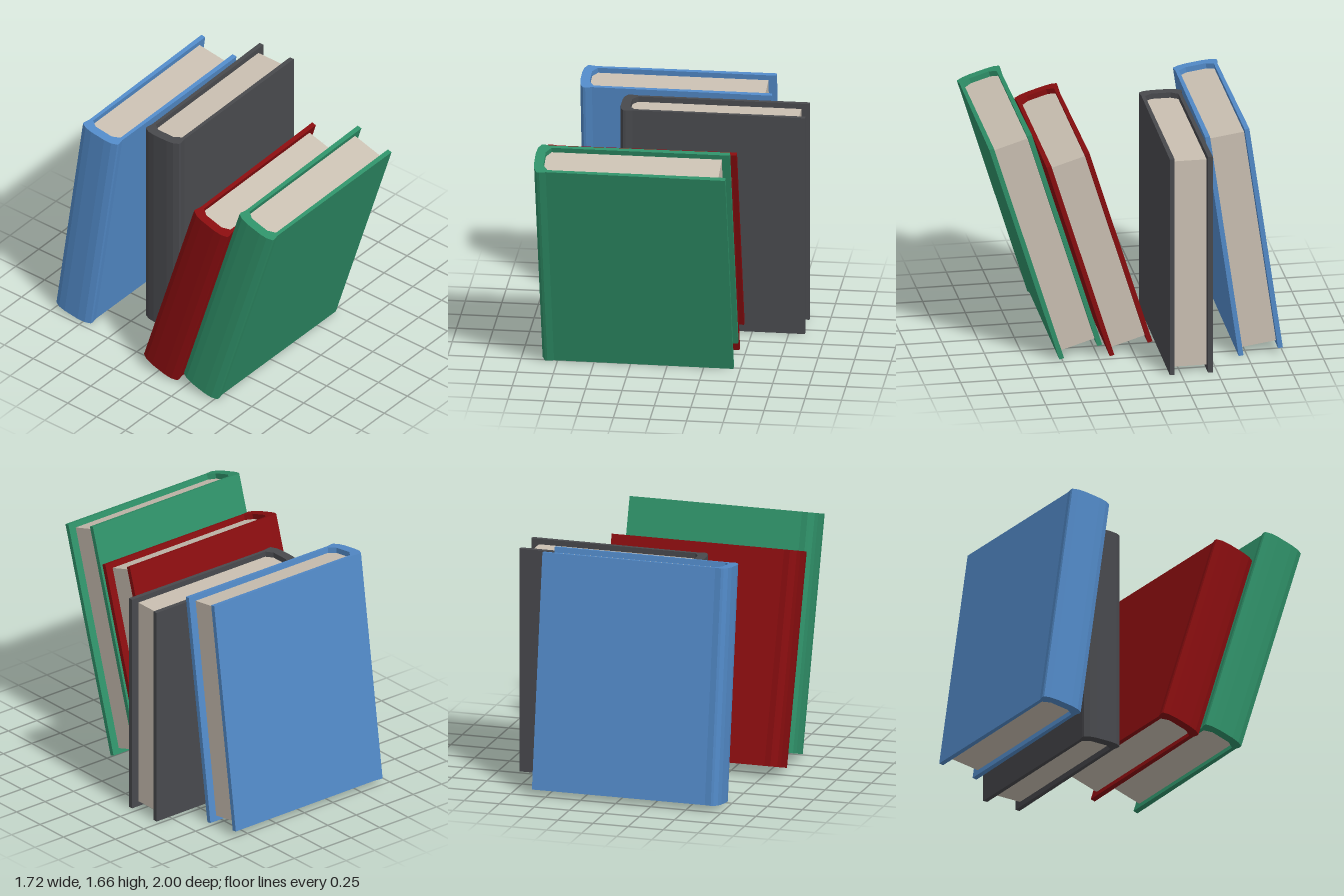
import * as THREE from 'three';

// Upright prism whose plan outline is mirrored across its centre line.
// half: [x, z] points along one side, running from the spine round and back.
function prism(half, height, baseY, color, name) {
  const mirrored = half.map(([x, z]) => [x, -z]).reverse();
  const shape = new THREE.Shape([...half, ...mirrored].map(([x, z]) => new THREE.Vector2(x, z)));
  const geometry = new THREE.ExtrudeGeometry(shape, { depth: height, bevelEnabled: false });
  geometry.rotateX(-Math.PI / 2).translate(0, baseY, 0);
  const mesh = new THREE.Mesh(geometry, new THREE.MeshStandardMaterial({ color, flatShading: true }));
  mesh.name = name;
  return mesh;
}

// Book standing on its tail: spine at x = 0, fore edge at x = width, centred on z.
function createBook({ name, color, width, height, thickness }) {
  const book = new THREE.Group();
  book.name = name;
  const t = thickness / 2;
  const inner = t - 0.033;   // half thickness of the page block
  const inset = 0.038;       // cover overhang at head and tail
  const foreEdge = width - 0.055;

  // C-shaped case: rounded spine, shallow hinge grooves and two boards
  const cover = [
    [0, t * 0.37], [0.008, t * 0.73], [0.028, t * 0.98], [0.045, t],
    [0.09, t - 0.009], [width, t], [width, inner],
    [0.1, inner], [0.066, inner * 0.58],
  ];
  book.add(prism(cover, height, 0, color, 'cover'));

  // Page block, with its back edges chamfered to fit the spine
  const pages = [[0.066, inner * 0.58], [0.1, inner], [foreEdge, inner]];
  book.add(prism(pages, height - 2 * inset, inset, 0xc9bfb1, 'pages'));
  return book;
}

export function createModel() {
  const model = new THREE.Group();
  model.name = 'leaningBooks';

  // x: spine position, z: middle of the tail, lean: tilt toward the front
  const books = [
    { name: 'greenBook', color: 0x2f9068, width: 1.317, height: 1.638, thickness: 0.307, x: -0.863, z: 0.371, lean: 0.2995 },
    { name: 'redBook', color: 0x880d0f, width: 1.317, height: 1.475, thickness: 0.307, x: -0.863, z: 0.024, lean: 0.2995 },
    { name: 'charcoalBook', color: 0x48494d, width: 1.27, height: 1.576, thickness: 0.296, x: -0.41, z: -0.32, lean: 0 },
    { name: 'blueBook', color: 0x528ac8, width: 1.32, height: 1.631, thickness: 0.307, x: -0.721, z: -0.844, lean: 0.142 },
  ];
  for (const spec of books) {
    const book = createBook(spec);
    book.rotation.x = spec.lean;
    // Lift so the lower tail edge rests on the ground
    book.position.set(spec.x, Math.sin(spec.lean) * spec.thickness / 2, spec.z);
    model.add(book);
  }
  return model;
}
